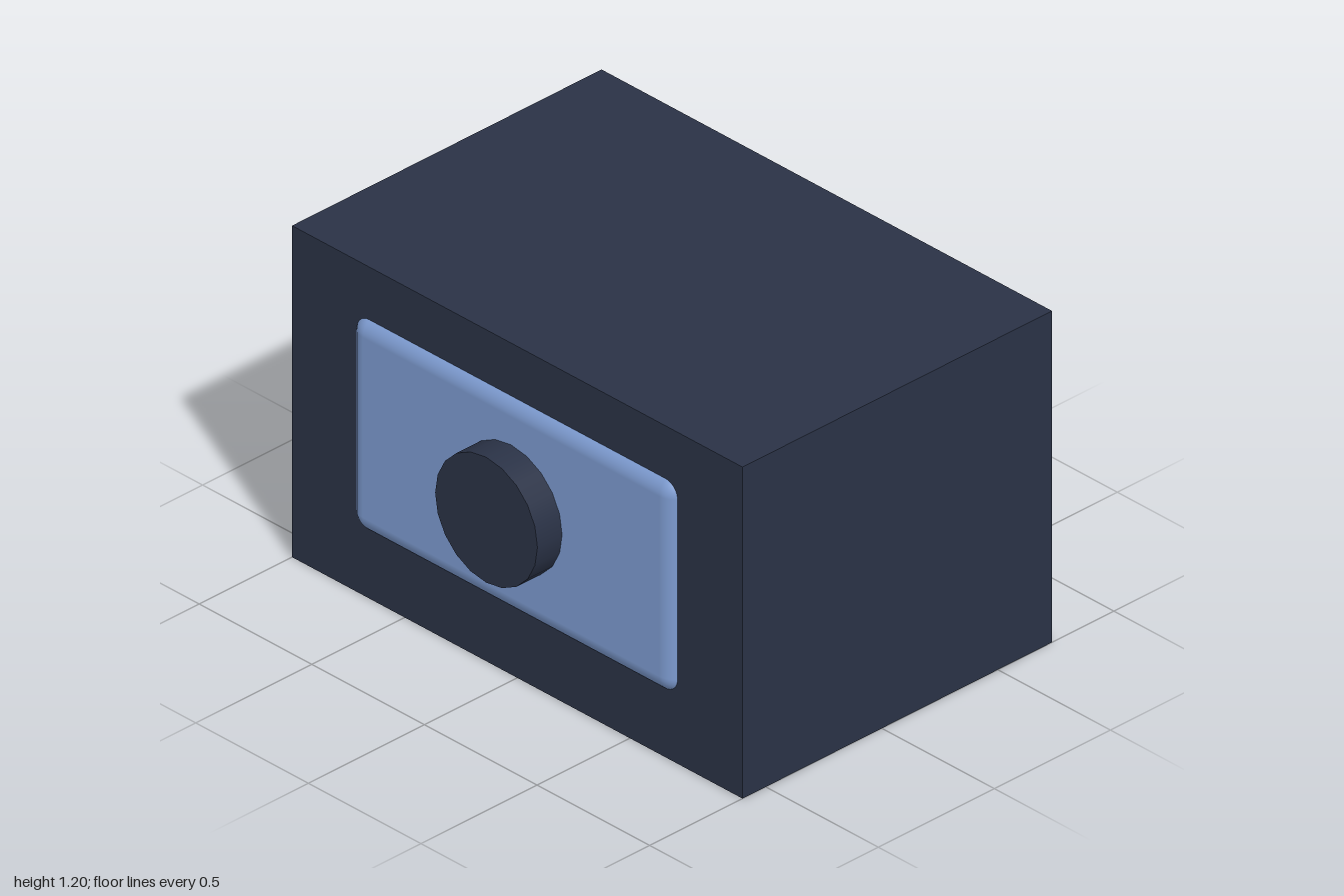
import * as THREE from 'three';
import { RoundedBoxGeometry } from 'three/addons/geometries/RoundedBoxGeometry.js';

export function createModel() {
  const model = new THREE.Group();
  model.name = 'safeBox';

  const slate = new THREE.MeshStandardMaterial({ color: 0x2a3246 });
  slate.name = 'dark slate';
  const blue = new THREE.MeshStandardMaterial({ color: 0x7d9bd0 });
  blue.name = 'soft blue';

  const add = (name, geometry, material, x, y, z) => {
    const mesh = new THREE.Mesh(geometry, material);
    mesh.name = name;
    mesh.position.set(x, y, z);
    model.add(mesh);
    return mesh;
  };

  // Main case
  add('case', new THREE.BoxGeometry(2, 1.2, 1.3333), slate, 0, 0.6, -0.0667);

  // Raised front panel with soft edges
  add('frontPanel', new RoundedBoxGeometry(1.45, 0.785, 0.16, 5, 0.067), blue, 0, 0.63, 0.547);

  // Round knob on the panel
  const knob = add('knob', new THREE.CylinderGeometry(0.227, 0.227, 0.2, 20), slate, 0, 0.628, 0.6333);
  knob.rotation.x = Math.PI / 2;

  // Block set into the lower back, flush with the back and underside
  add('rearFootBlock', new THREE.BoxGeometry(1.0667, 0.18, 0.6667), blue, 0, 0.09, -0.4);

  return model;
}
